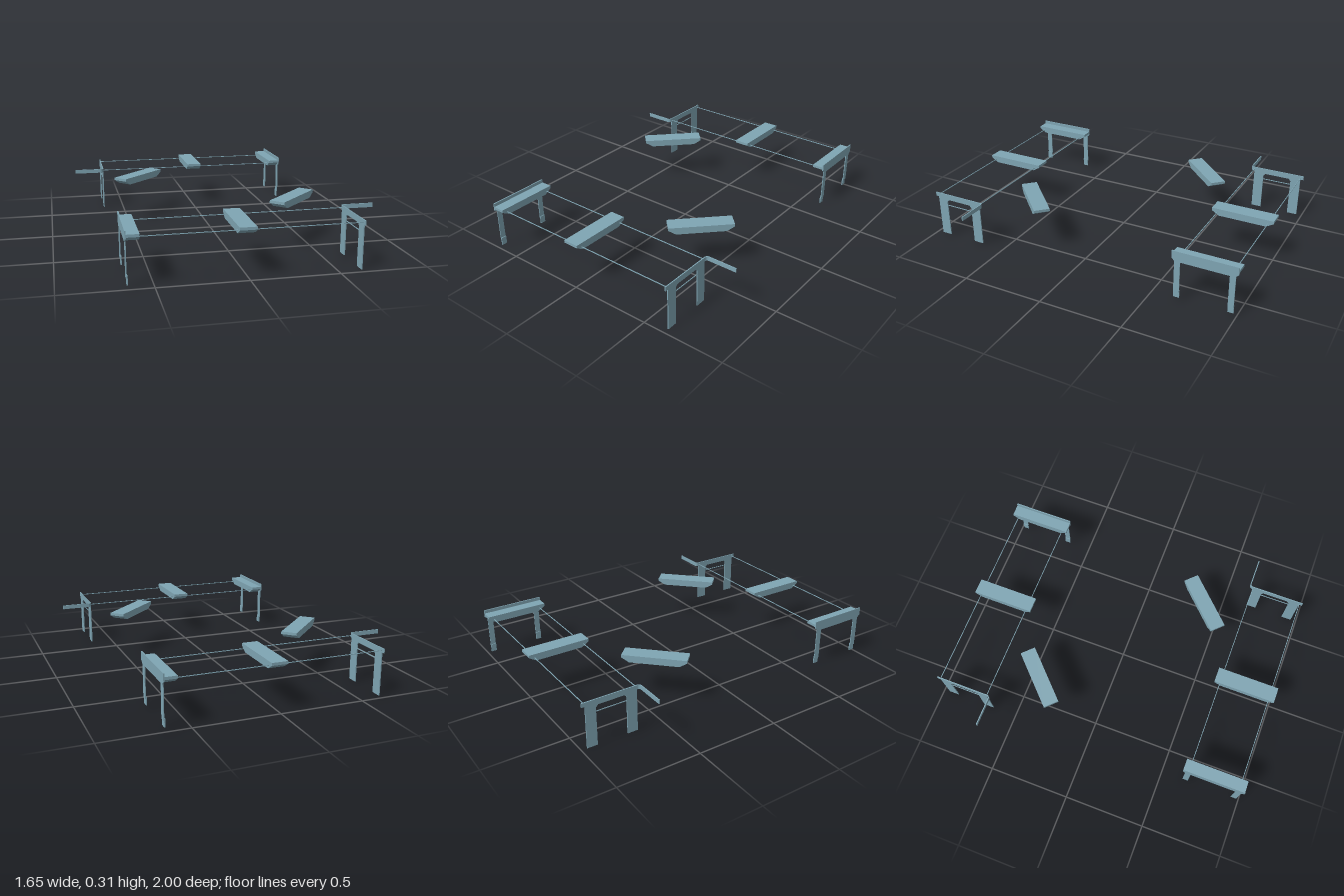
import * as THREE from 'three';

const paint = new THREE.MeshStandardMaterial({ color: 0x7fa5b3 });
paint.name = 'dusty blue';

// Side profile given as [z, y] points, extruded along x from x0 to x1
function plate(name, points, x0, x1, parent) {
  const shape = new THREE.Shape(points.map(([z, y]) => new THREE.Vector2(z, y)));
  const geo = new THREE.ExtrudeGeometry(shape, { depth: x1 - x0, bevelEnabled: false });
  geo.rotateY(-Math.PI / 2).translate(x1, 0, 0);
  const mesh = new THREE.Mesh(geo, paint);
  mesh.name = name;
  parent.add(mesh);
  return mesh;
}

function box(name, x0, x1, y0, y1, z0, z1, parent) {
  const geo = new THREE.BoxGeometry(x1 - x0, y1 - y0, z1 - z0);
  geo.translate((x0 + x1) / 2, (y0 + y1) / 2, (z0 + z1) / 2);
  const mesh = new THREE.Mesh(geo, paint);
  mesh.name = name;
  parent.add(mesh);
  return mesh;
}

// Slab profile with slanted lower ends
const slabProfile = (c, half, inset) => [
  [c - half, 0.29], [c - half, 0.274], [c - half + inset, 0.247],
  [c + half - inset, 0.247], [c + half, 0.274], [c + half, 0.29],
];

const MID = 0.81; // z of the centre of a bay

function createBay() {
  const bay = new THREE.Group();

  // Slabs: middle, end and loose diagonal one
  plate('middleSlab', slabProfile(MID, 0.19, 0.045), -0.061, 0.034, bay);
  plate('endSlab', slabProfile(MID, 0.19, 0.045), -0.642, -0.572, bay);
  const diagonal = plate('diagonalSlab', slabProfile(0, 0.19, 0.045), -0.0475, 0.0475, bay);
  diagonal.position.set(0.415, 0, 0.395);
  diagonal.rotation.y = Math.PI * 0.75;

  // Upright end panel with clipped lower corners
  plate('endPanel', [
    [0.62, 0.31], [0.62, 0.265], [0.64, 0.247],
    [0.98, 0.247], [1.0, 0.265], [1.0, 0.31],
  ], -0.648, -0.641, bay);

  // Slim legs with stepped feet under the end panel
  for (const s of [-1, 1]) {
    const z = MID + s * 0.157;
    box('endLeg', -0.646, -0.641, 0.055, 0.25, z - 0.017, z + 0.017, bay);
    box('endFoot', -0.642, -0.636, 0.018, 0.066, z - 0.017, z + 0.017, bay);
  }

  // Portal frame with two broad legs
  plate('portalFrame', [
    [0.655, 0], [0.718, 0], [0.718, 0.23], [0.732, 0.245],
    [0.888, 0.245], [0.902, 0.23], [0.902, 0], [0.965, 0],
    [0.965, 0.26], [0.655, 0.26],
  ], 0.63, 0.636, bay);
  box('crossWire', 0.631, 0.635, 0.204, 0.208, 0.715, 0.905, bay);

  // Rail over the portal, bent outward round one corner
  const rail = new THREE.Shape();
  rail.moveTo(0.63, 0.985);
  rail.lineTo(0.63, 0.652);
  rail.absarc(0.65, 0.652, 0.02, Math.PI, Math.PI * 1.5, false);
  rail.lineTo(0.824, 0.632);
  rail.lineTo(0.824, 0.638);
  rail.lineTo(0.65, 0.638);
  rail.absarc(0.65, 0.652, 0.014, Math.PI * 1.5, Math.PI, true);
  rail.lineTo(0.636, 0.985);
  const railGeo = new THREE.ExtrudeGeometry(rail, { depth: 0.025, bevelEnabled: false, curveSegments: 5 });
  railGeo.rotateX(Math.PI / 2).translate(0, 0.28, 0);
  const railMesh = new THREE.Mesh(railGeo, paint);
  railMesh.name = 'bentRail';
  bay.add(railMesh);

  // Long wires joining both ends
  for (const z of [0.655, 0.965]) {
    box('longWire', -0.641, 0.632, 0.265, 0.269, z - 0.002, z + 0.002, bay);
  }
  return bay;
}

export function createModel() {
  const model = new THREE.Group();
  model.name = 'trackBays';
  // Two identical bays, half a turn apart
  for (const [name, turn] of [['frontBay', 0], ['backBay', Math.PI]]) {
    const bay = createBay();
    bay.name = name;
    bay.rotation.y = turn;
    model.add(bay);
  }
  return model;
}
